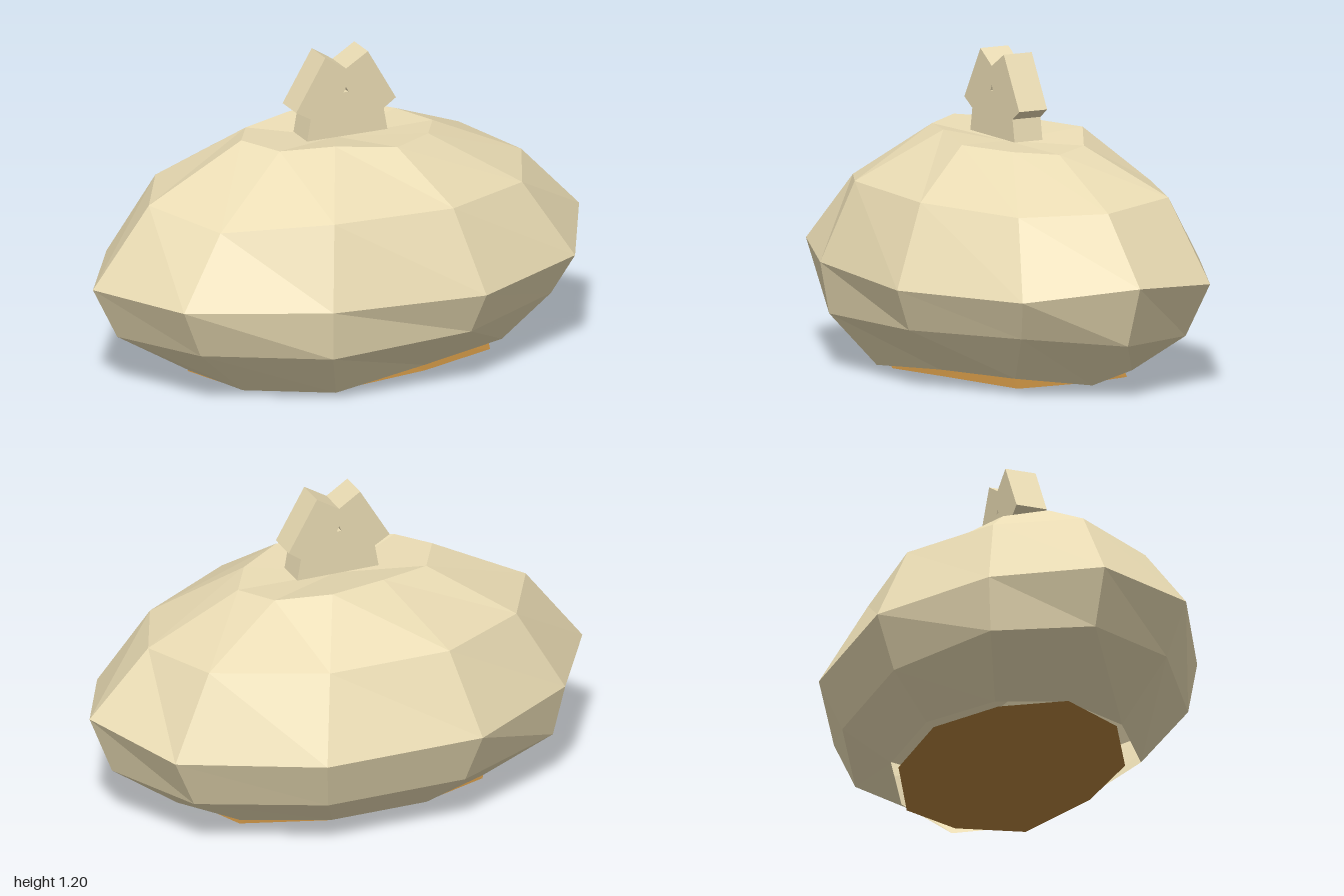
import * as THREE from 'three';

const SIDES = 10;
const cream = new THREE.MeshStandardMaterial({ color: 0xe8dab2, flatShading: true, side: THREE.DoubleSide });
const brown = new THREE.MeshStandardMaterial({ color: 0xb5833c, flatShading: true, side: THREE.DoubleSide });

// Ten-sided oval ring: half sizes, height of each corner, and a scale for each corner
function ring(rx, rz, ys, scale = []) {
  return ys.map((y, i) => {
    const a = (i / SIDES) * Math.PI * 2;
    const s = scale[i] ?? 1;
    return new THREE.Vector3(Math.cos(a) * rx * s, y, Math.sin(a) * rz * s);
  });
}

// Skin stacked rings with triangles, optionally closing the last ring with a fan
function skin(rings, capCentre) {
  const pts = [];
  for (let r = 0; r < rings.length - 1; r++) {
    for (let i = 0; i < SIDES; i++) {
      const j = (i + 1) % SIDES;
      const [lo, hi] = [rings[r], rings[r + 1]];
      pts.push(lo[i], hi[i], hi[j], lo[i], hi[j], lo[j]);
    }
  }
  if (capCentre) {
    const top = rings[rings.length - 1];
    top.forEach((p, i) => pts.push(capCentre, top[(i + 1) % SIDES], p));
  }
  const geo = new THREE.BufferGeometry().setFromPoints(pts);
  geo.computeVertexNormals();
  return geo;
}

export function createModel() {
  const model = new THREE.Group();
  model.name = 'model';

  // Faceted oval body, open underneath, with a shallow dip on top
  const body = new THREE.Mesh(skin([
    ring(0.62, 0.43, [0.025, 0.06, 0.05, 0.015, 0.01, 0.02, 0.03, 0.05, 0.05, 0.04],
      [1.04, 1.1, 0.95, 1.07, 1, 0.97, 0.98, 1, 1, 1]),
    ring(0.9, 0.6, [0.21, 0.24, 0.23, 0.21, 0.21, 0.2, 0.2, 0.2, 0.2, 0.195],
      [1.01, 0.99, 1.02, 1.04, 0.99]),
    ring(1, 0.67, [0.44, 0.39, 0.39, 0.405, 0.405, 0.4, 0.4, 0.4, 0.4, 0.4],
      [1, 0.99, 1.02, 0.98, 1, 1, 0.95, 1.02, 1.02, 1.02]),
    ring(0.77, 0.52, [0.69, 0.68, 0.7, 0.71, 0.665, 0.7, 0.7, 0.71, 0.7, 0.71],
      [0.99, 1, 1.03, 1.03, 0.99, 1, 0.97, 1.02, 0.98, 1.05]),
    ring(0.39, 0.26, [0.86, 0.87, 0.88, 0.9, 0.89, 0.9, 0.89, 0.9, 0.905, 0.87],
      [1.02, 0.98, 1.07, 0.85, 0.95, 1, 0.96, 0.85, 1.04, 1]),
  ], new THREE.Vector3(0, 0.855, 0)), cream);
  body.name = 'body';
  model.add(body);

  // Uneven brown underside
  const base = new THREE.Mesh(skin([
    ring(0.61, 0.4, [0.03, 0.015, 0.025, 0, 0.005, 0.02, 0.01, 0.035, 0.035, 0.015],
      [1, 1.05]),
  ], new THREE.Vector3(0, 0.022, 0)), brown);
  base.name = 'underside';
  model.add(base);

  // Notched stem with a tiny three-cornered hole
  const outline = new THREE.Shape([
    [-0.15, 0.88], [0.18, 0.88], [0.165, 0.965], [0.215, 1.0], [0.1, 1.2],
    [0.01, 1.145], [-0.075, 1.2], [-0.195, 1.0], [-0.135, 0.965],
  ].map(([x, y]) => new THREE.Vector2(x, y)));
  outline.holes.push(new THREE.Path([
    [0, 1.052], [0.01, 1.072], [0.02, 1.052],
  ].map(([x, y]) => new THREE.Vector2(x, y))));
  const stemGeo = new THREE.ExtrudeGeometry(outline, { depth: 0.12, bevelEnabled: false });
  stemGeo.translate(0, 0, -0.053);
  const stem = new THREE.Mesh(stemGeo, cream);
  stem.name = 'stem';
  model.add(stem);

  return model;
}
